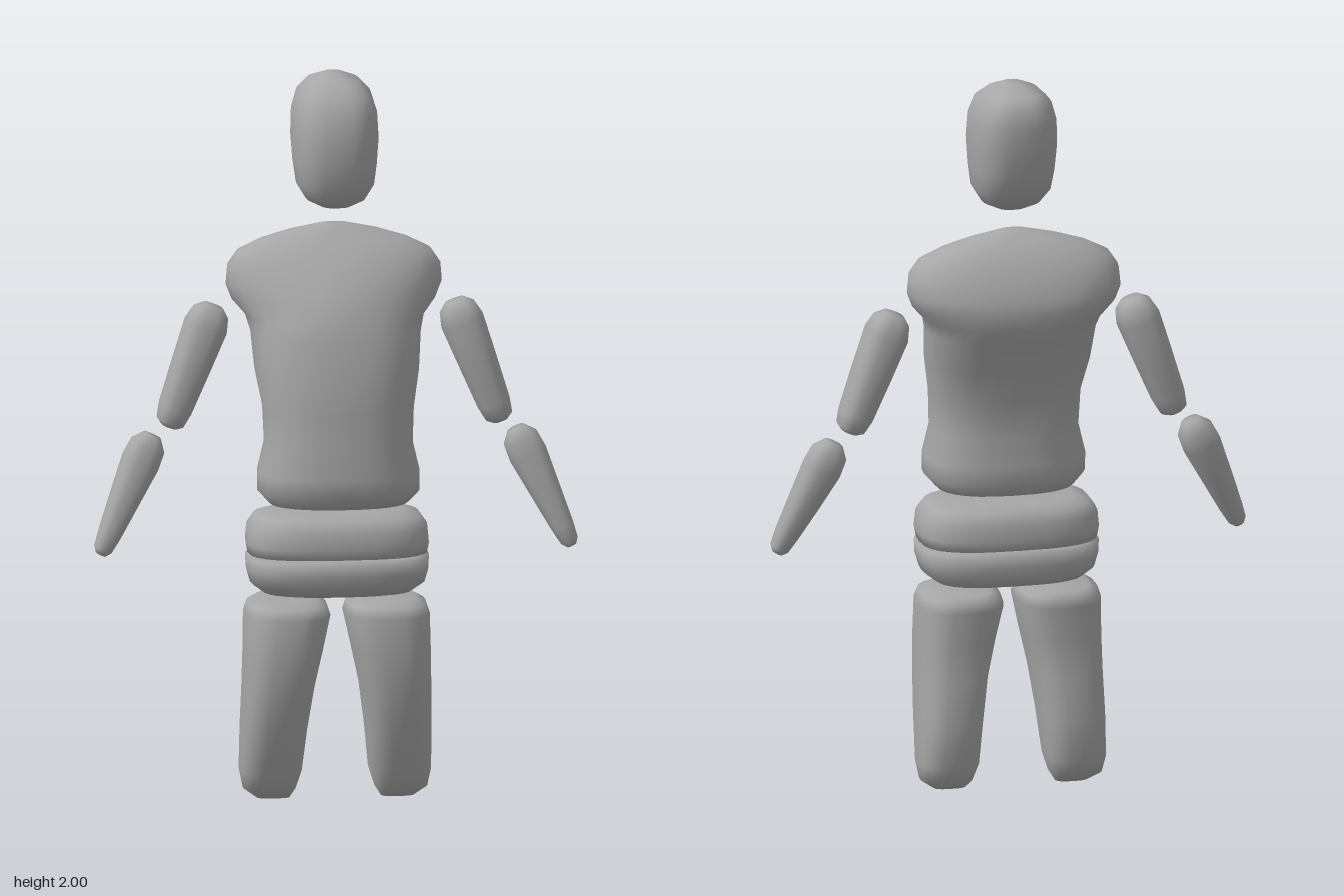
import * as THREE from 'three';

const SEGMENTS = 28;

// Closed loft. Each ring, bottom to top: [y, half width, front z, back z, z of widest point, centre x].
// nFront and nBack set how square the front and back halves are (2 = ellipse); a ring may override nFront.
function loft(rings, nFront = 2.6, nBack = nFront) {
  const positions = [], index = [];
  for (const [y, w, zf, zb, zm = (zf + zb) / 2, cx = 0, front = nFront] of rings) {
    for (let j = 0; j < SEGMENTS; j++) {
      const a = (j / SEGMENTS) * Math.PI * 2, c = Math.cos(a), s = Math.sin(a);
      const e = 2 / (s >= 0 ? front : nBack);
      const x = cx + w * Math.sign(c) * Math.abs(c) ** e;
      const z = zm + (s >= 0 ? zf - zm : zm - zb) * Math.sign(s) * Math.abs(s) ** e;
      positions.push(x, y, z);
    }
  }
  const last = (rings.length - 1) * SEGMENTS, poleA = rings.length * SEGMENTS, poleB = poleA + 1;
  for (const [y, , zf, zb, zm = (zf + zb) / 2, cx = 0] of [rings[0], rings[rings.length - 1]]) {
    positions.push(cx, y, zm);
  }
  for (let j = 0; j < SEGMENTS; j++) {
    const k = (j + 1) % SEGMENTS;
    for (let r = 0; r < last; r += SEGMENTS) {
      const a = r + j, b = r + k, c = a + SEGMENTS, d = b + SEGMENTS;
      index.push(a, c, b, b, c, d);
    }
    index.push(poleA, j, k, poleB, last + k, last + j);
  }
  const g = new THREE.BufferGeometry();
  g.setAttribute('position', new THREE.Float32BufferAttribute(positions, 3));
  g.setIndex(index);
  g.computeVertexNormals();
  return g;
}

export function createModel() {
  const model = new THREE.Group();
  model.name = 'mannequin';
  const grey = new THREE.MeshStandardMaterial({ color: 0xa6a6a6 });
  grey.name = 'grey';
  const add = (name, geometry) => {
    const mesh = new THREE.Mesh(geometry, grey);
    mesh.name = name;
    model.add(mesh);
    return mesh;
  };

  add('head', loft([
    [1.64, 0.04, 0.03, -0.07],
    [1.66, 0.08, 0.065, -0.11],
    [1.70, 0.105, 0.09, -0.15],
    [1.76, 0.113, 0.102, -0.175],
    [1.83, 0.118, 0.107, -0.19],
    [1.90, 0.115, 0.095, -0.197],
    [1.95, 0.10, 0.065, -0.19],
    [1.98, 0.07, 0.02, -0.165],
    [2.00, 0.025, -0.03, -0.10],
  ], 2.7));

  // Torso with shoulder stubs that swell out behind the chest
  add('torso', loft([
    [0.825, 0.13, 0.14, -0.05],
    [0.835, 0.19, 0.195, -0.09],
    [0.87, 0.222, 0.222, -0.105],
    [0.92, 0.222, 0.226, -0.11],
    [1.00, 0.203, 0.215, -0.10],
    [1.10, 0.207, 0.21, -0.112],
    [1.20, 0.225, 0.20, -0.15, 0.01],
    [1.30, 0.233, 0.175, -0.20, -0.02],
    [1.34, 0.245, 0.165, -0.217, -0.04, 0, 2.1],
    [1.38, 0.28, 0.147, -0.224, -0.055, 0, 1.85],
    [1.42, 0.296, 0.125, -0.22, -0.06, 0, 1.8],
    [1.47, 0.292, 0.085, -0.20, -0.06, 0, 1.9],
    [1.51, 0.265, 0.05, -0.175, -0.06, 0, 2],
    [1.54, 0.205, 0.015, -0.15, -0.06, 0, 2],
    [1.565, 0.125, -0.015, -0.12, -0.06, 0, 2],
    [1.585, 0.035, -0.045, -0.075, -0.06, 0, 2],
  ], 2.4, 2.5));

  add('waist', loft([
    [0.69, 0.215, 0.15, -0.11],
    [0.692, 0.245, 0.178, -0.138],
    [0.72, 0.25, 0.184, -0.142],
    [0.765, 0.246, 0.18, -0.14],
    [0.795, 0.225, 0.16, -0.125],
    [0.808, 0.18, 0.12, -0.09],
  ], 2.9));

  add('hips', loft([
    [0.575, 0.16, 0.10, -0.08],
    [0.585, 0.205, 0.145, -0.115],
    [0.61, 0.238, 0.173, -0.135],
    [0.645, 0.248, 0.182, -0.14],
    [0.682, 0.25, 0.182, -0.14],
    [0.684, 0.22, 0.15, -0.11],
  ], 2.9));

  for (const [side, s] of [['left', 1], ['right', -1]]) {
    // Thigh: leans back and outward towards its rounded end
    const thigh = [
      [0.003, 0.045, 0.0, -0.05, 0.17],
      [0.03, 0.072, 0.035, -0.095, 0.18],
      [0.08, 0.085, 0.06, -0.122, 0.177],
      [0.20, 0.09, 0.11, -0.136, 0.17],
      [0.32, 0.097, 0.143, -0.126, 0.16],
      [0.42, 0.107, 0.152, -0.122, 0.148],
      [0.52, 0.117, 0.15, -0.134, 0.136],
      [0.547, 0.108, 0.137, -0.132, 0.136],
      [0.562, 0.08, 0.09, -0.11, 0.136],
    ].map(([y, w, zf, zb, x]) => [y, w, zf, zb, (zf + zb) / 2, s * x]);
    add(side + 'Thigh', loft(thigh, 2.7));

    const upperArm = add(side + 'UpperArm', loft([
      [-0.352, 0.022, -0.005, -0.075],
      [-0.34, 0.038, 0.01, -0.095],
      [-0.30, 0.046, 0.017, -0.108],
      [-0.17, 0.054, 0.018, -0.116],
      [-0.06, 0.06, 0.013, -0.117],
      [-0.02, 0.05, 0.0, -0.105],
      [0, 0.028, -0.02, -0.085],
    ], 2.6));
    upperArm.position.set(s * 0.33, 1.363, 0);
    upperArm.rotation.z = s * 0.36;

    // Forearm: tapers and swings forward
    const forearm = add(side + 'Forearm', loft([
      [-0.35, 0.014, 0.02, -0.02],
      [-0.335, 0.025, 0.034, -0.035],
      [-0.29, 0.032, 0.033, -0.048],
      [-0.18, 0.043, 0.022, -0.08],
      [-0.08, 0.053, 0.008, -0.10],
      [-0.03, 0.049, 0.0, -0.10],
      [0, 0.025, -0.02, -0.08],
    ], 2.5));
    forearm.position.set(s * 0.497, 1.007, 0);
    forearm.rotation.z = s * 0.435;
  }
  return model;
}
